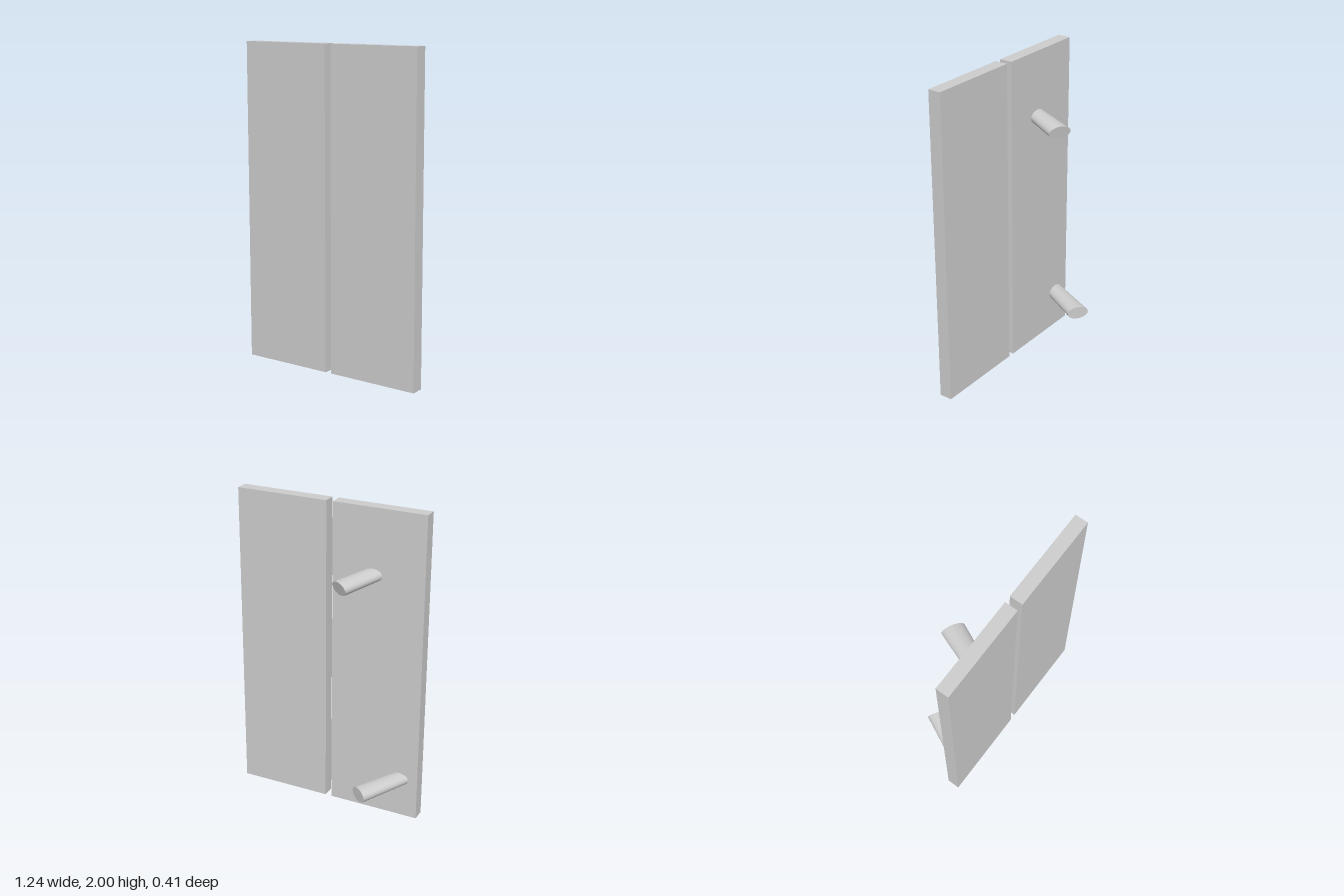
import * as THREE from 'three';

const material = new THREE.MeshStandardMaterial({ color: 0xcccccc });

// Slightly flared oval peg: each end has a centre c and two half-axes u (wide) and v (tall)
function makePeg(base, end) {
  const geo = new THREE.CylinderGeometry(1, 1, 1, 48);
  const pos = geo.attributes.position;
  const p = new THREE.Vector3();
  for (let i = 0; i < pos.count; i++) {
    const { c, u, v } = pos.getY(i) < 0 ? base : end;
    p.set(...c)
      .addScaledVector(new THREE.Vector3(...u), pos.getX(i))
      .addScaledVector(new THREE.Vector3(...v), pos.getZ(i));
    pos.setXYZ(i, p.x, p.y, p.z);
  }
  geo.computeVertexNormals();
  return new THREE.Mesh(geo, material);
}

export function createModel() {
  const group = new THREE.Group();

  // Two tall flat panels with a narrow gap between them
  for (const side of [-1, 1]) {
    const panel = new THREE.Mesh(new THREE.BoxGeometry(0.597, 2, 0.082), material);
    panel.name = side < 0 ? 'rightPanel' : 'leftPanel';
    panel.position.set(side * 0.3195, 1, 0.164);
    group.add(panel);
  }

  // Slanted pegs on the back of the right panel
  const lowerPeg = makePeg(
    { c: [-0.493, 0.258, 0.123], u: [0.065, 0, 0], v: [0, 0.041, 0] },
    { c: [-0.346, 0.257, -0.165], u: [0.056, 0, 0.04], v: [0, 0.043, 0] }
  );
  lowerPeg.name = 'lowerPeg';

  const upperPeg = makePeg(
    { c: [-0.281, 1.586, 0.123], u: [0.065, 0, 0], v: [0, 0.041, 0] },
    { c: [-0.18, 1.565, -0.115], u: [0.06, 0, 0.036], v: [0.004, 0.042, -0.009] }
  );
  upperPeg.name = 'upperPeg';

  group.add(lowerPeg, upperPeg);
  return group;
}
